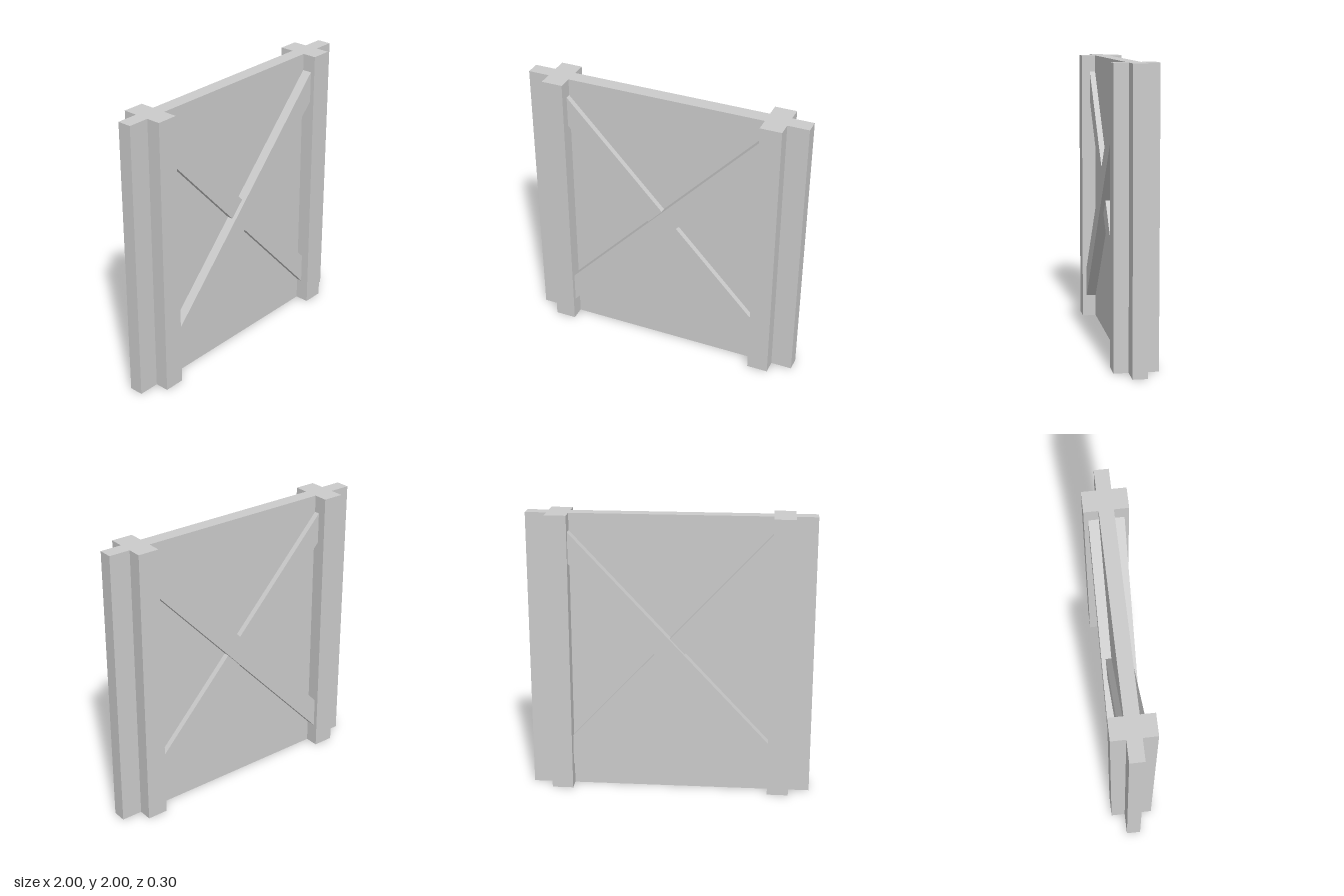
import * as THREE from 'three';

const material = new THREE.MeshStandardMaterial({ color: 0xcccccc });

// Extrudes a closed outline, centred on its depth.
function extrude(name, points, depth) {
  const shape = new THREE.Shape(points.map(([x, y]) => new THREE.Vector2(x, y)));
  const geometry = new THREE.ExtrudeGeometry(shape, { depth, bevelEnabled: false });
  geometry.translate(0, 0, -depth / 2);
  const mesh = new THREE.Mesh(geometry, material);
  mesh.name = name;
  return mesh;
}

export function createModel() {
  const group = new THREE.Group();
  group.name = 'bracedWallPanel';

  // Thin wall between the posts
  const panel = new THREE.Mesh(new THREE.BoxGeometry(1.4, 2, 0.1), material);
  panel.name = 'panel';
  panel.position.y = 1;
  group.add(panel);

  for (const side of [-1, 1]) {
    const label = side > 0 ? 'left' : 'right';

    // Post with an outer fin, drawn in plan and stood upright
    const plan = [
      [0.7, -0.15], [0.85, -0.15], [0.85, -0.05], [1, -0.05],
      [1, 0.05], [0.85, 0.05], [0.85, 0.15], [0.7, 0.15],
    ].map(([x, z]) => [side * x, z]);
    const post = extrude(label + 'Post', plan, 2);
    post.rotation.x = -Math.PI / 2;
    post.position.y = 1;
    group.add(post);

    // Diagonal brace passing through the wall; the one rising to the left is thicker
    const outline = [[-0.7, 0.16], [0.7, 1.66], [0.7, 1.88], [-0.7, 0.38]]
      .map(([x, y]) => [side * x, y]);
    group.add(extrude(label + 'RisingBrace', outline, side > 0 ? 0.24 : 0.18));
  }

  return group;
}
